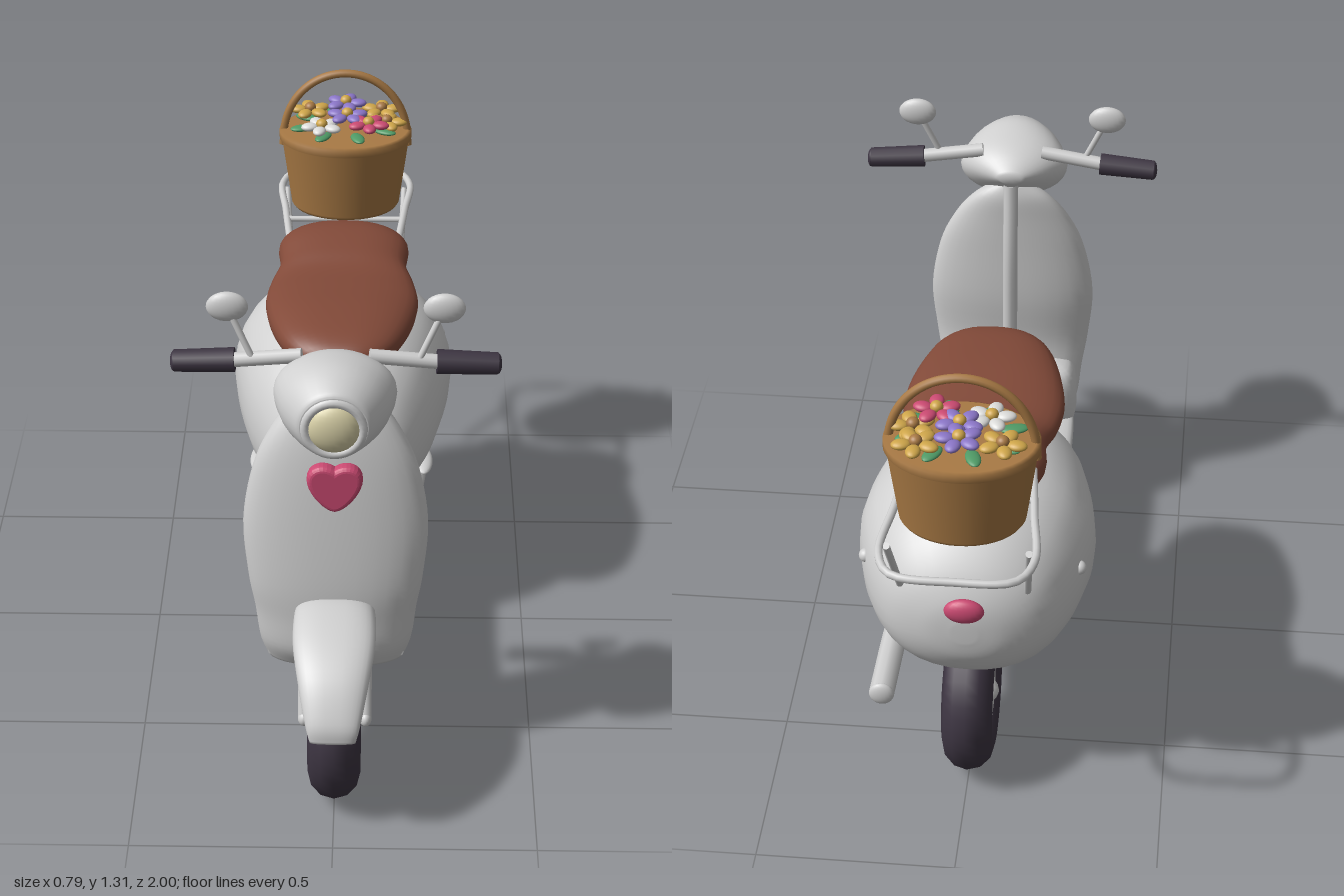
import * as THREE from 'three';

const mat = (name, color) => {
  const m = new THREE.MeshStandardMaterial({ color });
  m.name = name;
  return m;
};
const V = (x, y, z) => new THREE.Vector3(x, y, z);

// Smooth loft: each section is [zA, yA, zB, yB, halfWidth], an oval between points A and B
function loft(sections, power = 2, steps = 5, around = 32) {
  const rows = [], last = sections.length - 1;
  const at = (i) => sections[Math.min(last, Math.max(0, i))];
  for (let i = 0; i < last; i++) {
    for (let s = 0; s < steps + (i === last - 1 ? 1 : 0); s++) {
      const t = s / steps, [a, b, c, d] = [at(i - 1), at(i), at(i + 1), at(i + 2)];
      rows.push(b.map((v, k) => v + 0.5 * t * (c[k] - a[k]
        + t * (2 * a[k] - 5 * v + 4 * c[k] - d[k] + t * (3 * (v - c[k]) + d[k] - a[k])))));
    }
  }
  const pos = [], idx = [];
  const bend = (v) => Math.sign(v) * Math.abs(v) ** (2 / power);
  rows.forEach(([zA, yA, zB, yB, w]) => {
    for (let j = 0; j < around; j++) {
      const q = (j / around) * Math.PI * 2, s = bend(Math.sin(q)) / 2;
      pos.push(Math.max(w, 0.002) * bend(Math.cos(q)), (yA + yB) / 2 + s * (yB - yA), (zA + zB) / 2 + s * (zB - zA));
    }
  });
  const m = Math.floor(last / 2), p = at(m), n = at(m + 1);
  const flip = (p[3] - p[1]) * (n[0] - p[0]) - (p[2] - p[0]) * (n[1] - p[1]) < 0;
  const tri = (a, b, c) => (flip ? idx.push(a, c, b) : idx.push(a, b, c));
  for (let i = 0; i < rows.length - 1; i++) {
    for (let j = 0; j < around; j++) {
      const a = i * around + j, b = i * around + (j + 1) % around;
      tri(a, b, a + around);
      tri(b, b + around, a + around);
    }
  }
  // End caps
  [0, rows.length - 1].forEach((r) => {
    const [zA, yA, zB, yB] = rows[r], c = pos.length / 3;
    pos.push(0, (yA + yB) / 2, (zA + zB) / 2);
    for (let j = 0; j < around; j++) {
      const a = r * around + j, b = r * around + (j + 1) % around;
      if (r === 0) tri(c, b, a); else tri(c, a, b);
    }
  });
  const g = new THREE.BufferGeometry();
  g.setAttribute('position', new THREE.Float32BufferAttribute(pos, 3));
  g.setIndex(idx);
  g.computeVertexNormals();
  return g;
}

export function createModel() {
  const root = new THREE.Group();
  const paint = mat('pale grey paint', 0xd0d0d0), rubber = mat('dark rubber', 0x3d3542);
  const leather = mat('brown leather', 0x824a39), wicker = mat('wicker', 0xa97a45);
  const pink = mat('pink', 0xcb4a72), cream = mat('cream glass', 0xd9d1a8);
  const purple = mat('purple', 0x8b76c8), yellow = mat('yellow', 0xcfa64a);
  const white = mat('white petals', 0xdcdcda), green = mat('leaf green', 0x4f9a66);

  const add = (name, geo, material, p = [0, 0, 0], parent = root) => {
    const m = new THREE.Mesh(geo, material);
    m.name = name;
    m.position.set(...p);
    parent.add(m);
    return m;
  };
  const ball = (name, material, p, r, parent = root) => {
    const m = add(name, new THREE.SphereGeometry(1, 20, 14), material, p, parent);
    m.scale.set(...r);
    return m;
  };
  const rod = (name, material, a, b, r, sides = 14, r2 = r) => {
    const d = V(...b).sub(V(...a));
    const m = add(name, new THREE.CylinderGeometry(r2, r, d.length(), sides), material,
      V(...a).addScaledVector(d, 0.5).toArray());
    m.quaternion.setFromUnitVectors(V(0, 1, 0), d.normalize());
    return m;
  };
  const tube = (name, material, pts, r, parent = root) => add(name,
    new THREE.TubeGeometry(new THREE.CatmullRomCurve3(pts.map((p) => V(...p))), 48, r, 10), material, [0, 0, 0], parent);

  // Wheels: fat tyre, domed rim and hub cap
  for (const [name, z] of [['frontWheel', 0.735], ['rearWheel', -0.56]]) {
    const wheel = new THREE.Group();
    wheel.name = name;
    wheel.position.set(0, 0.207, z);
    root.add(wheel);
    add('tyre', new THREE.TorusGeometry(0.142, 0.065, 12, 40), rubber, [0, 0, 0], wheel).rotation.y = Math.PI / 2;
    const rim = [[0, -0.05], [0.07, -0.054], [0.105, -0.05], [0.105, 0.05], [0.07, 0.054], [0, 0.05]];
    add('rim', new THREE.LatheGeometry(rim.map((p) => new THREE.Vector2(...p)), 32), paint, [0, 0, 0], wheel).rotation.z = Math.PI / 2;
    ball('hubCap', paint, [0, 0, 0], [0.07, 0.045, 0.045], wheel);
  }

  // Rear body
  add('rearBody', loft([
    [0.1, 0.42, 0.1, 0.49, 0.05], [0.08, 0.36, 0.08, 0.56, 0.11], [0.04, 0.335, 0.04, 0.65, 0.165],
    [-0.04, 0.32, -0.04, 0.74, 0.215], [-0.17, 0.31, -0.17, 0.8, 0.265], [-0.38, 0.31, -0.38, 0.825, 0.3],
    [-0.52, 0.315, -0.52, 0.81, 0.28], [-0.62, 0.335, -0.62, 0.765, 0.24], [-0.69, 0.385, -0.69, 0.7, 0.185],
    [-0.73, 0.45, -0.73, 0.63, 0.105], [-0.742, 0.51, -0.742, 0.57, 0.03]], 2.2), paint);

  // Floor, footwell hump and leg shield
  add('floorBoard', loft([
    [0.62, 0.3, 0.62, 0.34, 0.17], [0.48, 0.285, 0.48, 0.345, 0.188], [0.2, 0.265, 0.2, 0.335, 0.19],
    [-0.08, 0.29, -0.08, 0.335, 0.19], [-0.16, 0.305, -0.16, 0.34, 0.17]], 4), paint);
  add('footwell', loft([
    [0.52, 0.5, 0.6, 0.5, 0.13], [0.47, 0.48, 0.61, 0.48, 0.175], [0.45, 0.42, 0.62, 0.42, 0.19],
    [0.46, 0.34, 0.62, 0.34, 0.19], [0.5, 0.3, 0.6, 0.3, 0.18]], 3.5), paint);
  add('legShield', loft([
    [0.54, 1.06, 0.59, 1.06, 0.04], [0.53, 1.02, 0.61, 1.02, 0.1], [0.53, 0.95, 0.635, 0.95, 0.155],
    [0.53, 0.85, 0.655, 0.85, 0.2], [0.53, 0.7, 0.675, 0.7, 0.226], [0.54, 0.55, 0.69, 0.55, 0.215],
    [0.52, 0.45, 0.692, 0.45, 0.2], [0.5, 0.36, 0.69, 0.36, 0.19], [0.52, 0.3, 0.66, 0.3, 0.17]], 2.2), paint);
  tube('steeringColumn', paint, [[0, 1.07, 0.535], [0, 0.85, 0.522], [0, 0.56, 0.532]], 0.02);
  ball('columnEnd', paint, [0, 0.56, 0.532], [0.02, 0.02, 0.02]);

  // Front mudguard
  add('frontMudguard', loft([
    [0.61, 0.43, 0.62, 0.49, 0.09], [0.7, 0.435, 0.7, 0.525, 0.1], [0.79, 0.43, 0.82, 0.5, 0.1],
    [0.88, 0.39, 0.92, 0.445, 0.085], [0.95, 0.33, 0.985, 0.36, 0.066], [0.965, 0.3, 0.995, 0.31, 0.055]], 2.4), paint);

  // Headlamp housing, bezel and lens
  add('headlampHousing', loft([
    [0.51, 1.085, 0.51, 1.115, 0.03], [0.56, 1.04, 0.56, 1.15, 0.1], [0.62, 0.99, 0.62, 1.17, 0.145],
    [0.7, 0.96, 0.7, 1.178, 0.132], [0.77, 0.975, 0.77, 1.155, 0.095], [0.785, 0.985, 0.785, 1.14, 0.08]]), paint);
  add('headlampBezel', new THREE.TorusGeometry(0.068, 0.012, 10, 32), paint, [0, 1.06, 0.782]);
  ball('headlampLens', cream, [0, 1.06, 0.78], [0.063, 0.063, 0.03]);

  // Heart ornament on the shield
  const heart = new THREE.Shape();
  heart.moveTo(0, -0.052);
  heart.bezierCurveTo(0.02, -0.05, 0.055, -0.005, 0.055, 0.022);
  heart.bezierCurveTo(0.055, 0.052, 0.02, 0.058, 0, 0.035);
  heart.bezierCurveTo(-0.02, 0.058, -0.055, 0.052, -0.055, 0.022);
  heart.bezierCurveTo(-0.055, -0.005, -0.02, -0.05, 0, -0.052);
  add('heartOrnament', new THREE.ExtrudeGeometry(heart, {
    depth: 0.012, bevelThickness: 0.014, bevelSize: 0.012, bevelSegments: 4, curveSegments: 10 }), pink, [0, 0.852, 0.694]);

  // Mirrored parts: fork, handlebar, mirrors, rack legs, pegs
  for (const s of [1, -1]) {
    rod('forkLeg', paint, [s * 0.077, 0.2, 0.74], [s * 0.077, 0.38, 0.675], 0.015);
    ball('forkEnd', paint, [s * 0.077, 0.2, 0.74], [0.015, 0.02, 0.02]);
    rod('handlebar', paint, [s * 0.08, 1.145, 0.585], [s * 0.26, 1.123, 0.572], 0.018);
    rod('grip', rubber, [s * 0.24, 1.125, 0.572], [s * 0.385, 1.117, 0.565], 0.03, 10, 0.027);
    ball('gripEnd', rubber, [s * 0.385, 1.117, 0.565], [0.01, 0.025, 0.025]);
    rod('mirrorStem', paint, [s * 0.2, 1.14, 0.582], [s * 0.245, 1.24, 0.57], 0.008);
    ball('mirror', paint, [s * 0.256, 1.264, 0.566], [0.05, 0.038, 0.02]);
    rod('rackLeg', paint, [s * 0.168, 0.9, -0.87], [s * 0.155, 0.69, -0.745], 0.009);
    ball('footPeg', paint, [s * 0.225, 0.41, -0.16], [0.025, 0.014, 0.07]);
    ball('sideButton', paint, [s * 0.268, 0.605, -0.535], [0.018, 0.018, 0.018]);
  }

  // Seat
  add('seat', loft([
    [0.11, 0.85, 0.11, 0.875, 0.04], [0.085, 0.822, 0.085, 0.9, 0.1], [0.02, 0.808, 0.02, 0.918, 0.15],
    [-0.1, 0.798, -0.1, 0.925, 0.188], [-0.22, 0.802, -0.22, 0.92, 0.204], [-0.32, 0.812, -0.32, 0.918, 0.193],
    [-0.4, 0.812, -0.4, 0.94, 0.172], [-0.5, 0.81, -0.5, 0.955, 0.178], [-0.57, 0.81, -0.57, 0.94, 0.145],
    [-0.605, 0.83, -0.605, 0.91, 0.09], [-0.615, 0.85, -0.615, 0.885, 0.04]], 2.4), leather);

  // Luggage rack, exhaust and tail lamp
  const side = [[0.15, 0.9, -0.53], [0.168, 0.9, -0.72], [0.182, 0.9, -0.9], [0.145, 0.9, -0.975]];
  tube('luggageRack', paint, [...side, [0, 0.9, -0.99], ...side.map(([x, y, z]) => [-x, y, z]).reverse()], 0.01);
  rod('rackCrossbar', paint, [-0.16, 0.9, -0.66], [0.16, 0.9, -0.66], 0.008);
  const pipe = [[0.185, 0.295, -0.13], [0.21, 0.275, -0.4], [0.215, 0.295, -0.7]];
  tube('exhaust', paint, pipe, 0.032);
  pipe.filter((p, i) => i !== 1).forEach((p) => ball('exhaustEnd', paint, p, [0.032, 0.032, 0.014]));
  ball('tailLamp', pink, [0, 0.612, -0.742], [0.05, 0.034, 0.022]);

  // Basket with hooped handle
  const basket = new THREE.Group();
  basket.name = 'flowerBasket';
  basket.position.set(0, 0, -0.75);
  root.add(basket);
  const weave = [[0, 0.91], [0.145, 0.91], [0.152, 0.92], [0.178, 1.11], [0.185, 1.115], [0.185, 1.135], [0.175, 1.14], [0, 1.14]];
  add('basketBody', new THREE.LatheGeometry(weave.map((p) => new THREE.Vector2(...p)), 40), wicker, [0, 0, 0], basket).scale.z = 0.81;
  const hoop = Array.from({ length: 13 }, (_, i) => {
    const a = (i / 12) * Math.PI;
    return [0.175 * Math.cos(a), 1.09 + 0.213 * Math.sin(a) ** 0.9, 0];
  });
  tube('basketHandle', wicker, hoop, 0.011, basket);

  // Five-petalled flowers: x, y, z, petal colour, heart colour
  const flowers = [
    [0, 1.185, -0.07, purple, yellow], [0.1, 1.165, -0.07, yellow, wicker], [-0.1, 1.168, -0.06, yellow, wicker],
    [-0.065, 1.165, 0.05, white, yellow], [0.065, 1.175, 0.055, pink, yellow], [0.115, 1.16, 0.005, yellow, wicker],
    [0.005, 1.178, 0, purple, yellow]];
  flowers.forEach(([x, y, z, petal, middle], n) => {
    const flower = new THREE.Group();
    flower.name = 'flower';
    flower.position.set(x, y, z);
    basket.add(flower);
    for (let i = 0; i < 5; i++) {
      const a = (i / 5) * Math.PI * 2 + n;
      const p = ball('petal', petal, [0.034 * Math.cos(a), 0, 0.034 * Math.sin(a)], [0.024, 0.011, 0.018], flower);
      p.rotation.y = -a;
    }
    ball('flowerCentre', middle, [0, 0.008, 0], [0.016, 0.014, 0.016], flower);
  });
  for (let i = 0; i < 8; i++) {
    const a = (i / 8) * Math.PI * 2 + 0.5;
    ball('leaf', green, [0.125 * Math.cos(a), 1.15, 0.1 * Math.sin(a)], [0.034, 0.008, 0.018], basket).rotation.y = -a;
  }
  return root;
}
